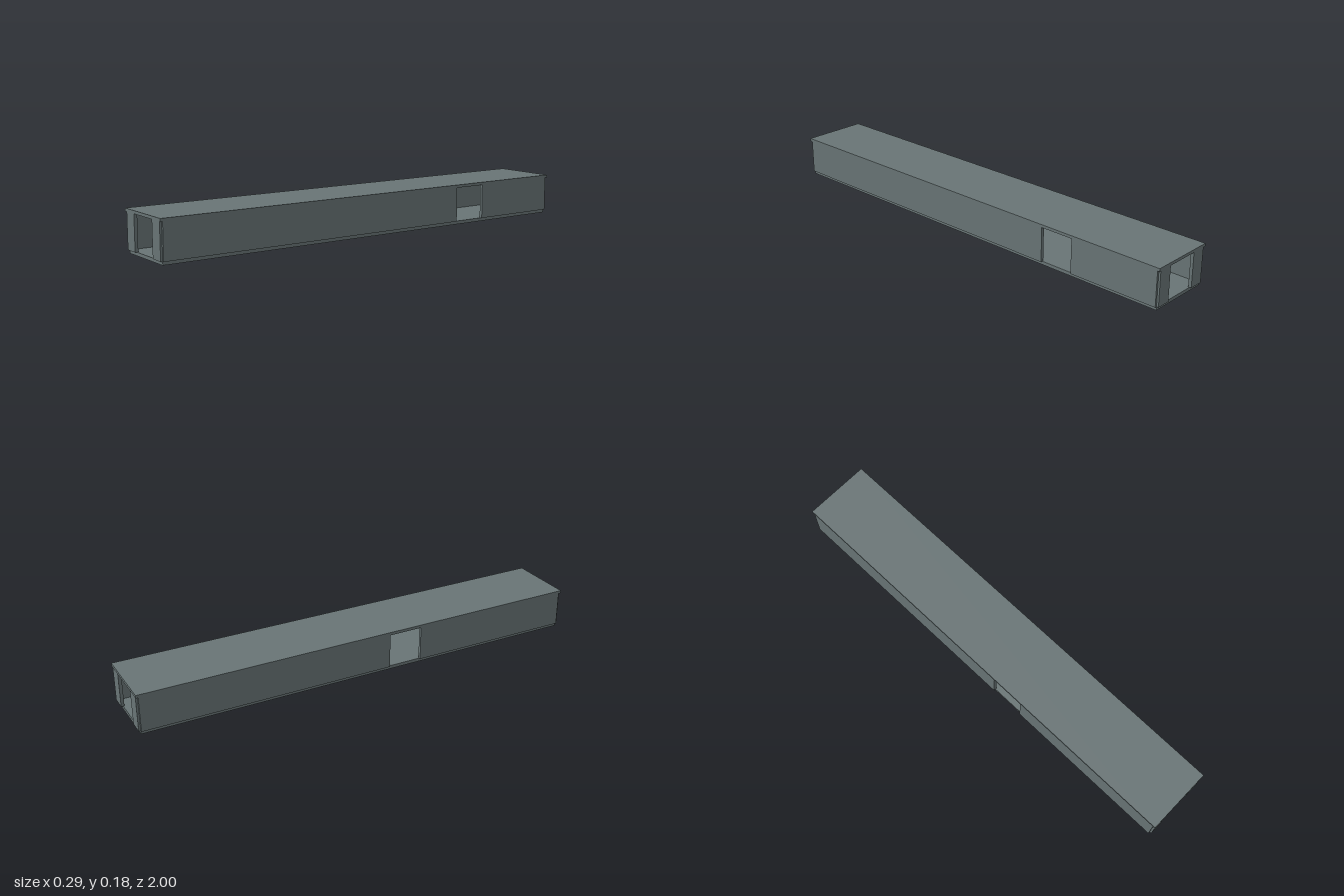
import * as THREE from 'three';

export function createModel() {
  const model = new THREE.Group();
  const slate = new THREE.MeshStandardMaterial({ color: 0x687475 });
  slate.name = 'slate grey';

  const floorTop = 0.0145, roofBottom = 0.165, height = 0.1775;
  const thick = 0.0135;

  // Box given by its minimum and maximum corners
  function box(name, parent, [x0, y0, z0], [x1, y1, z1]) {
    const mesh = new THREE.Mesh(new THREE.BoxGeometry(x1 - x0, y1 - y0, z1 - z0), slate);
    mesh.position.set((x0 + x1) / 2, (y0 + y1) / 2, (z0 + z1) / 2);
    mesh.name = name;
    parent.add(mesh);
  }

  // Floor slab and slightly overhanging roof slab
  box('floor', model, [-0.1375, 0, -0.99], [0.1375, floorTop, 0.99]);
  box('roof', model, [-0.1475, roofBottom, -1], [0.1475, height, 1]);

  // Long walls, each split by one full-height doorway
  const doorways = [
    { name: 'leftWall', side: 1, from: -0.59, to: -0.44 },
    { name: 'rightWall', side: -1, from: 0.11, to: 0.26 },
  ];
  for (const { name, side, from, to } of doorways) {
    const wall = new THREE.Group();
    wall.name = name;
    const outer = 0.146 * side, inner = (0.146 - thick) * side;
    const x0 = Math.min(outer, inner), x1 = Math.max(outer, inner);
    box(name + 'BackPanel', wall, [x0, floorTop, -0.99], [x1, roofBottom, from]);
    box(name + 'FrontPanel', wall, [x0, floorTop, to], [x1, roofBottom, 0.99]);
    model.add(wall);
  }

  // End walls: two panels beside a central opening at each end
  for (const [name, z0] of [['frontWall', 0.9985 - thick], ['backWall', -0.9985]]) {
    const wall = new THREE.Group();
    wall.name = name;
    box(name + 'LeftPanel', wall, [0.075, floorTop, z0], [0.1375, roofBottom, z0 + thick]);
    box(name + 'RightPanel', wall, [-0.1375, floorTop, z0], [-0.075, roofBottom, z0 + thick]);
    model.add(wall);
  }

  return model;
}
